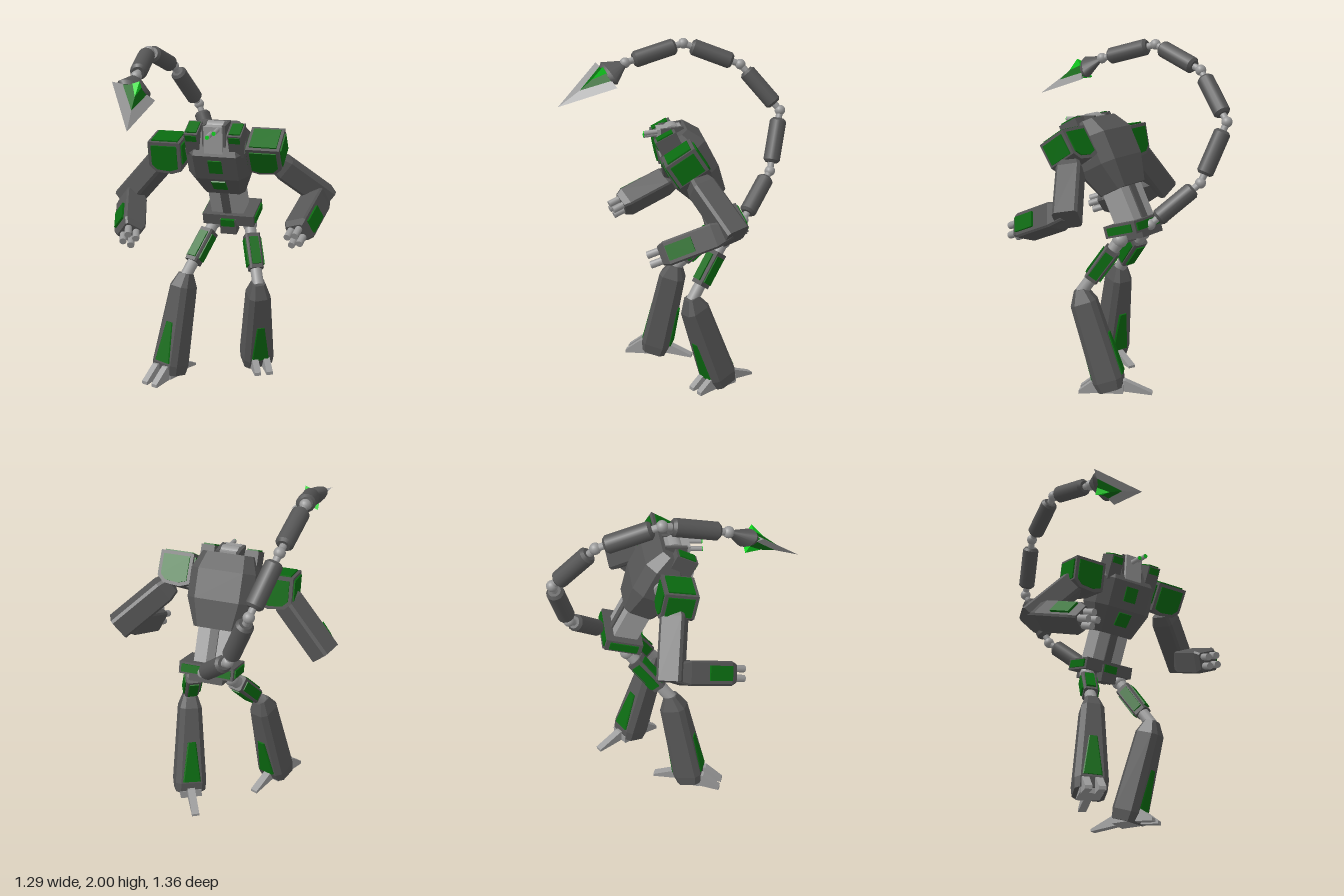
import * as THREE from 'three';

const mat = (color) => new THREE.MeshStandardMaterial({ color, flatShading: true });
const smooth = (color) => new THREE.MeshStandardMaterial({ color });
const V = (x, y, z) => new THREE.Vector3(x, y, z);

export function createModel() {
  const root = new THREE.Group();
  const dark = mat(0x555555), light = mat(0x999999), green = mat(0x0a6a10), bright = mat(0x10d820);
  const darkRound = smooth(0x555555), lightRound = smooth(0x999999);

  const add = (parent, name, geo, m, x = 0, y = 0, z = 0) => {
    const mesh = new THREE.Mesh(geo, m);
    mesh.name = name;
    mesh.position.set(x, y, z);
    parent.add(mesh);
    return mesh;
  };
  const box = (parent, name, w, h, d, m, x, y, z) => add(parent, name, new THREE.BoxGeometry(w, h, d), m, x, y, z);
  const group = (name, x, y, z, pitch = 0, yaw = 0) => {
    const g = new THREE.Group();
    g.name = name;
    g.position.set(x, y, z);
    g.rotation.set(pitch, yaw, 0, 'YXZ');
    root.add(g);
    return g;
  };
  // Group at a, with local y towards b and local z near the given direction
  const limb = (name, a, b, facing) => {
    const g = group(name, a.x, a.y, a.z);
    const y = b.clone().sub(a).normalize();
    const x = y.clone().cross(facing).normalize();
    g.quaternion.setFromRotationMatrix(new THREE.Matrix4().makeBasis(x, y, x.clone().cross(y)));
    return g;
  };
  // Chamfered box through sections [y, halfWidth, zBack, zFront, chamfer]
  const loft = (sections) => {
    const rings = sections.map(([y, w, b, f, c]) => [
      [w, y, b + c], [w - c, y, b], [c - w, y, b], [-w, y, b + c],
      [-w, y, f - c], [c - w, y, f], [w - c, y, f], [w, y, f - c]]);
    const p = [], n = 8, last = rings.length - 1;
    for (let i = 0; i < last; i++) for (let j = 0; j < n; j++) {
      const k = (j + 1) % n, a = rings[i][j], b = rings[i][k], c = rings[i + 1][k], d = rings[i + 1][j];
      p.push(...a, ...b, ...c, ...a, ...c, ...d);
    }
    for (let j = 1; j < n - 1; j++) {
      p.push(...rings[0][0], ...rings[0][j + 1], ...rings[0][j]);
      p.push(...rings[last][0], ...rings[last][j], ...rings[last][j + 1]);
    }
    const geo = new THREE.BufferGeometry();
    geo.setAttribute('position', new THREE.Float32BufferAttribute(orientOut(p), 3));
    geo.computeVertexNormals();
    return geo;
  };
  const ball = (parent, name, r, p) => add(parent, name, new THREE.SphereGeometry(r, 16, 12), lightRound, p.x, p.y, p.z);
  const profile = (pts, depth) => new THREE.ExtrudeGeometry(
    new THREE.Shape(pts.map(([x, y]) => new THREE.Vector2(x, y))), { depth, bevelEnabled: false }).translate(0, 0, -depth / 2);

  // Pelvis
  const pelvis = group('pelvis', -0.02, 0.98, -0.31, 0.3, 0.15);
  box(pelvis, 'pelvisBlock', 0.32, 0.07, 0.22, dark, 0, 0, 0);
  box(pelvis, 'pelvisUnderside', 0.2, 0.06, 0.15, dark, 0, -0.04, -0.03);
  box(pelvis, 'crotchBlock', 0.1, 0.1, 0.07, dark, 0, -0.04, 0.09);
  box(pelvis, 'crotchPanel', 0.085, 0.045, 0.02, green, 0, -0.01, 0.122);
  box(pelvis, 'backPanel', 0.29, 0.045, 0.02, green, 0, 0, -0.108);
  for (const s of [1, -1]) box(pelvis, 'sidePanel', 0.02, 0.045, 0.17, green, s * 0.158, 0, 0);

  // Waist and chest, leaning forwards
  const torso = group('torso', -0.015, 1.15, -0.22, 0.48, 0.15);
  box(torso, 'waist', 0.2, 0.26, 0.14, light, 0, -0.06, 0);
  box(torso, 'waistStrip', 0.05, 0.24, 0.16, dark, 0, -0.06, 0);
  add(torso, 'chest', loft([[0.03, 0.13, -0.1, 0.09, 0.03], [0.19, 0.19, -0.13, 0.15, 0.06],
    [0.36, 0.19, -0.13, 0.15, 0.06], [0.46, 0.15, -0.07, 0.05, 0.04]]), dark);
  box(torso, 'upperChestPanel', 0.08, 0.09, 0.02, green, 0, 0.285, 0.148);
  box(torso, 'lowerChestPanel', 0.085, 0.085, 0.02, green, 0, 0.13, 0.127).rotation.x = 0.36;
  for (const s of [1, -1]) {
    box(torso, 'collarBlock', 0.08, 0.15, 0.13, dark, s * 0.13, 0.42, 0.06);
    box(torso, 'collarPanel', 0.065, 0.02, 0.1, green, s * 0.13, 0.493, 0.06);
    box(torso, 'collarFrontPanel', 0.065, 0.04, 0.02, green, s * 0.13, 0.467, 0.12);
  }
  add(torso, 'shoulderAxle', new THREE.CylinderGeometry(0.045, 0.045, 0.46, 16).rotateZ(Math.PI / 2), lightRound, 0.02, 0.28, 0);

  // Head with a pair of forward barrels
  const head = group('head', 0.015, 1.505, 0, 0.1, 0.15);
  box(head, 'face', 0.11, 0.16, 0.14, light, 0, 0, 0.015);
  for (const s of [1, -1]) box(head, 'cheekGuard', 0.02, 0.15, 0.13, dark, s * 0.06, 0.01, 0);
  add(head, 'crown', new THREE.CylinderGeometry(0.05, 0.05, 0.1, 16).rotateZ(Math.PI / 2), lightRound, 0, 0.045, 0);
  for (const [x, y] of [[-0.01, 0.04], [0.03, 0.065]]) {
    add(head, 'barrel', new THREE.CylinderGeometry(0.014, 0.014, 0.12, 10).rotateX(Math.PI / 2), lightRound, x, y, 0.1);
    add(head, 'barrelTip', new THREE.CylinderGeometry(0.012, 0.012, 0.01, 10).rotateX(Math.PI / 2), bright, x, y, 0.16);
  }

  // Arms: shoulder, upper arm, forearm and fingers
  const arms = [
    { s: 1, c: V(0.295, 1.425, -0.09), pitch: 0.58, a: V(0.33, 1.36, -0.14), e: V(0.54, 1.15, -0.33), h: V(0.54, 0.995, 0.045), out: V(0.9, 0.35, 0) },
    { s: -1, c: V(-0.285, 1.39, 0.02), pitch: 0.2, a: V(-0.31, 1.37, 0.01), e: V(-0.56, 1.1, -0.01), h: V(-0.39, 0.96, 0.33), out: V(-0.65, 0.5, 0.4) },
  ];
  for (const { s, c, pitch, a, e, h, out } of arms) {
    const shoulder = group('shoulder', c.x, c.y, c.z, pitch, 0.15);
    const shape = (k) => [[-0.1, 0.1], [-0.1, -0.08], [-0.04, -0.1], [0.06, -0.09], [0.1, -0.05], [0.1, 0.1]].map(([x, y]) => [x * s * k, y * k]);
    add(shoulder, 'shoulderBlock', profile(shape(0.98), 0.19), dark);
    add(shoulder, 'shoulderFacePanels', profile(shape(0.78), 0.205), green);
    box(shoulder, 'shoulderTopPanel', 0.16, 0.02, 0.15, green, 0, 0.096, 0);
    for (const side of [1, -1]) box(shoulder, 'shoulderSidePanel', 0.02, 0.12, 0.15, green, side * 0.096, 0.02, 0);

    const len = a.distanceTo(e), reach = e.distanceTo(h);
    const upper = limb('upperArm', a, e, V(0, 0.3, 1));
    add(upper, 'upperArmBlock', loft([[0, 0.055, -0.055, 0.055, 0.015], [0.06, 0.068, -0.07, 0.07, 0.015],
      [len + 0.05, 0.068, -0.07, 0.07, 0.015]]), dark);
    const fore = limb('forearm', e, h, out);
    add(fore, 'forearmBlock', loft([[0, 0.05, -0.05, 0.05, 0.01], [0.09, 0.07, -0.07, 0.07, 0.01],
      [reach - 0.04, 0.07, -0.07, 0.07, 0.01], [reach, 0.055, -0.055, 0.055, 0.01]]), dark);
    box(fore, 'forearmPanel', 0.085, 0.15, 0.03, green, 0, reach - 0.12, 0.068);
    for (const x of [-0.028, 0.028]) for (const z of [-0.026, 0.026])
      add(fore, 'finger', new THREE.CylinderGeometry(0.021, 0.021, 0.09, 12), lightRound, x, reach + 0.025, z);
  }

  // Legs: hip, thigh, shin and clawed foot
  const legs = [
    { hip: V(-0.125, 0.91, -0.27), knee: V(-0.2, 0.62, -0.01), foot: V(-0.255, 0.03, 0.11), yaw: -0.22 },
    { hip: V(0.1, 0.91, -0.3), knee: V(0.235, 0.59, -0.12), foot: V(0.155, 0.03, -0.295), yaw: 0.65 },
  ];
  for (const { hip, knee, foot, yaw } of legs) {
    const facing = V(Math.sin(yaw), 0, Math.cos(yaw));
    ball(root, 'hipJoint', 0.045, hip);
    const thigh = limb('thigh', knee, hip, facing), len = knee.distanceTo(hip);
    add(thigh, 'thighBar', new THREE.CylinderGeometry(0.036, 0.036, len, 12), lightRound, 0, len / 2, 0);
    add(thigh, 'thighBlock', loft([[0.1, 0.042, -0.042, 0.042, 0.01], [len - 0.07, 0.046, -0.046, 0.046, 0.01]]), dark);
    for (const s of [1, -1]) {
      box(thigh, 'thighPanel', 0.055, len - 0.22, 0.015, green, 0, len / 2 + 0.015, s * 0.045);
      box(thigh, 'thighSidePanel', 0.015, len - 0.22, 0.055, green, s * 0.045, len / 2 + 0.015, 0);
    }
    const shin = limb('lowerLeg', foot, knee, facing), h = foot.distanceTo(knee);
    add(shin, 'shinBlock', loft([[0, 0.09, -0.07, 0.075, 0.025], [0.06, 0.095, -0.085, 0.09, 0.03],
      [h - 0.06, 0.066, -0.075, 0.078, 0.028], [h + 0.02, 0.04, -0.04, 0.035, 0.015]]), dark);
    for (const [name, zb, zf, lean] of [['shinPanel', 0.07, 0.098, -0.03], ['calfPanel', -0.096, -0.07, 0.02]])
      add(shin, name, loft([[0.07, 0.055, zb, zf, 0.006], [0.32, 0.025, zb, zf, 0.006]]), green).rotation.x = lean;

    const claws = group('foot', foot.x, 0, foot.z, 0, yaw);
    box(claws, 'sole', 0.13, 0.05, 0.14, light, 0, 0.04, 0);
    const toe = profile([[0, 0.02], [0.19, 0], [0.19, 0.02], [0.09, 0.1], [0, 0.1]], 0.04).rotateY(-Math.PI / 2);
    for (const s of [1, -1]) add(claws, 'toe', toe, light, s * 0.037, 0, 0);
    add(claws, 'heelSpur', profile([[0, 0.02], [0, 0.08], [-0.08, 0.08], [-0.235, 0.015], [-0.235, 0]], 0.045).rotateY(-Math.PI / 2), light);
  }

  // Tail: a chain of ball joints and rounded segments
  const joints = [V(-0.02, 1.0, -0.42), V(-0.26, 1.23, -0.585), V(-0.41, 1.57, -0.645), V(-0.465, 1.84, -0.4),
    V(-0.455, 1.968, -0.055), V(-0.35, 1.87, 0.29)];
  joints.forEach((p, i) => {
    ball(root, 'tailJoint', 0.032, p);
    if (i === joints.length - 1) return;
    const q = joints[i + 1], len = p.distanceTo(q), seg = limb('tailSegment', p, q, V(1, 0.2, 0.3));
    add(seg, 'tailPin', new THREE.CylinderGeometry(0.02, 0.02, len, 10), lightRound, 0, len / 2, 0);
    const m = len / 2, r = 0.05, e = m - 0.052;
    for (const [k, r1, r2] of [[0, r, r], [1, 0.036, r], [-1, r, 0.036]])
      add(seg, 'tailSleeve', new THREE.CylinderGeometry(r1, r2, k ? 0.015 : 2 * e - 0.03, 14), darkRound, 0, m + k * (e - 0.0075), 0);
  });

  // Tail spike: flattened flaring collar and diamond blade with glowing faces
  const spike = limb('tailSpike', joints[5], V(-0.197, 1.635, 0.68), V(0.614, 0.759, 0.22));
  add(spike, 'spikeCollar', new THREE.CylinderGeometry(0.1, 0.03, 0.1, 18), darkRound, 0, 0.065, 0).scale.z = 0.5;
  add(spike, 'collarRim', new THREE.CylinderGeometry(0.08, 0.1, 0.025, 18), darkRound, 0, 0.127, 0).scale.z = 0.5;
  const blade = (name, r, y0, y1, depth, m) =>
    add(spike, name, new THREE.ConeGeometry(r, y1 - y0, 4), m, 0, (y0 + y1) / 2, 0).scale.set(1, 1, depth / r);
  blade('blade', 0.132, 0.135, 0.482, 0.034, light);
  blade('bladeInlay', 0.1, 0.134, 0.39, 0.058, green);
  blade('bladeCore', 0.06, 0.133, 0.31, 0.078, bright);
  return root;
}

// Flip any triangle of a convex-like shell that faces its middle
function orientOut(p) {
  const mid = V(0, 0, 0), n = p.length / 3;
  for (let i = 0; i < p.length; i += 3) mid.add(V(p[i], p[i + 1], p[i + 2]).divideScalar(n));
  for (let i = 0; i < p.length; i += 9) {
    const [a, b, c] = [0, 3, 6].map((k) => V(p[i + k], p[i + k + 1], p[i + k + 2]));
    if (b.clone().sub(a).cross(c.clone().sub(a)).dot(a.clone().sub(mid)) < 0)
      for (let j = 3; j < 6; j++) [p[i + j], p[i + j + 3]] = [p[i + j + 3], p[i + j]];
  }
  return p;
}
